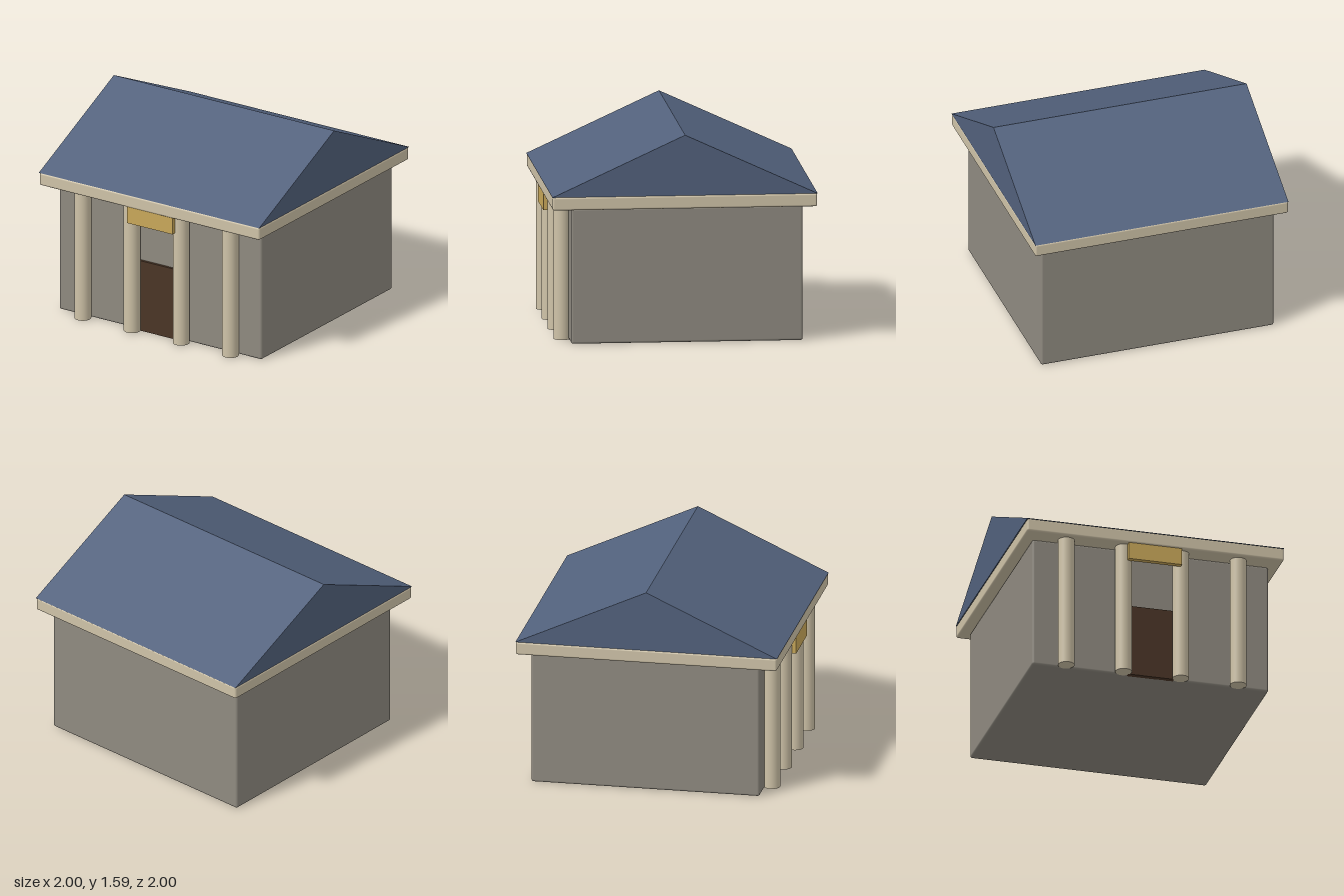
import * as THREE from 'three';
import { RoundedBoxGeometry } from 'three/addons/geometries/RoundedBoxGeometry.js';

const paint = (color) => new THREE.MeshStandardMaterial({ color });

export function createModel() {
  const model = new THREE.Group();
  model.name = 'building';

  const wall = paint(0x8f8a80);
  const trim = paint(0xcfc3a8);
  const roofBlue = paint(0x52617c);
  const gold = paint(0xc9a85a);
  const wood = paint(0x4a3526);

  const add = (name, geometry, material, x, y, z) => {
    const mesh = new THREE.Mesh(geometry, material);
    mesh.name = name;
    mesh.position.set(x, y, z);
    model.add(mesh);
    return mesh;
  };

  // Main block with slightly softened edges
  add('walls', new RoundedBoxGeometry(1.84, 1.03, 1.745, 2, 0.017), wall, 0, 0.515, -0.0225);

  // Slab under the roof
  add('eaveSlab', new RoundedBoxGeometry(2, 0.1, 1.995, 2, 0.015), trim, 0, 1.08, 0);

  // Gable roof: triangle in z-y, extruded along x
  const gable = new THREE.Shape([
    new THREE.Vector2(-1, 0),
    new THREE.Vector2(1, 0),
    new THREE.Vector2(0, 0.46),
  ]);
  const roof = new THREE.ExtrudeGeometry(gable, { depth: 2, bevelEnabled: false });
  roof.translate(0, 0, -1).rotateY(Math.PI / 2);
  add('roof', roof, roofBlue, 0, 1.13, 0);

  // Row of front columns
  const column = new THREE.CylinderGeometry(0.063, 0.063, 1.03, 32);
  for (const x of [-0.67, -0.223, 0.223, 0.67]) add('column', column, trim, x, 0.515, 0.897);

  // Door and blank plaque above it
  add('door', new THREE.BoxGeometry(0.36, 0.565, 0.04), wood, 0, 0.2825, 0.85);
  add('plaque', new THREE.BoxGeometry(0.415, 0.15, 0.04), gold, 0, 0.975, 0.97);

  return model;
}
